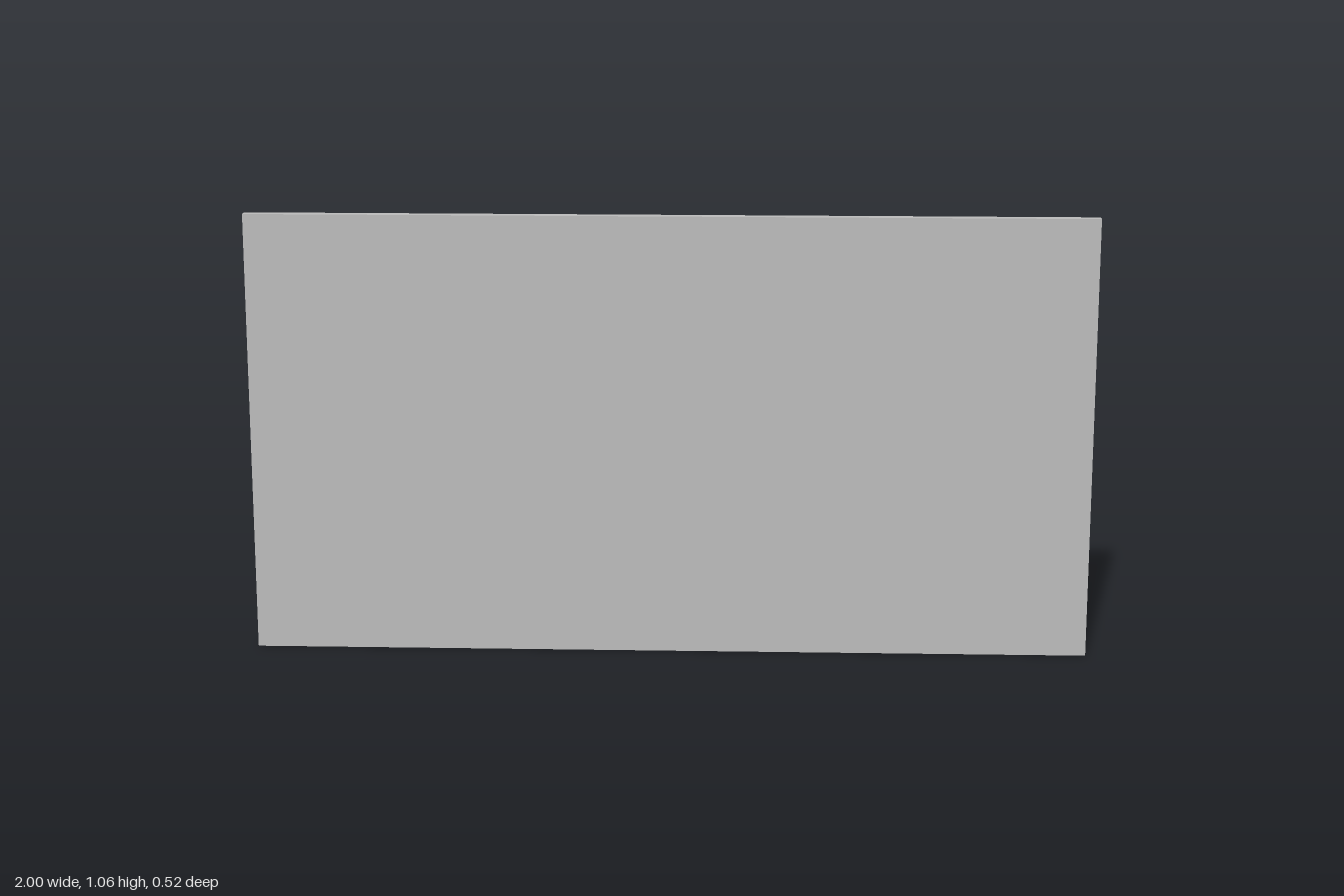
import * as THREE from 'three';

const grey = new THREE.MeshStandardMaterial({ color: 0xbcbcbc });
grey.name = 'plain grey';

function add(parent, name, geo) {
  const m = new THREE.Mesh(geo, grey);
  m.name = name;
  parent.add(m);
  return m;
}

function group(parent, name) {
  const g = new THREE.Group();
  g.name = name;
  parent.add(g);
  return g;
}

// box given by its limits on each axis
function box(p, name, x0, x1, y0, y1, z0, z1) {
  const g = new THREE.BoxGeometry(x1 - x0, y1 - y0, z1 - z0);
  g.translate((x0 + x1) / 2, (y0 + y1) / 2, (z0 + z1) / 2);
  return add(p, name, g);
}

// round rod between two points, optionally tapered
function rod(p, name, a, b, r0, r1 = r0, sides = 24) {
  const A = new THREE.Vector3(...a), d = new THREE.Vector3(...b).sub(A);
  const m = add(p, name, new THREE.CylinderGeometry(r1, r0, d.length(), sides));
  m.position.copy(A).addScaledVector(d, 0.5);
  m.quaternion.setFromUnitVectors(new THREE.Vector3(0, 1, 0), d.normalize());
  return m;
}

// bevelled slab with an outline in x and y, and optional holes
function plate(p, name, pts, z0, z1, holes = [], bevel = 0.006) {
  const v = (a) => a.map(([x, y]) => new THREE.Vector2(x, y));
  const s = new THREE.Shape(v(pts));
  holes.forEach((h) => s.holes.push(new THREE.Path(v(h))));
  const g = new THREE.ExtrudeGeometry(s, {
    depth: z1 - z0 - 2 * bevel, bevelEnabled: bevel > 0, bevelThickness: bevel,
    bevelSize: bevel, bevelOffset: -bevel, bevelSegments: 2,
  });
  g.translate(0, 0, z0 + bevel);
  return add(p, name, g);
}

function ball(p, name, x, y, z, rx, ry, rz) {
  const m = add(p, name, new THREE.SphereGeometry(1, 24, 16));
  m.position.set(x, y, z);
  m.scale.set(rx, ry, rz);
  return m;
}

function ring(p, name, x, y, z, r, t) {
  const m = add(p, name, new THREE.TorusGeometry(r, t, 10, 28));
  m.position.set(x, y, z);
  return m;
}

// rounded tube through a list of points in one plane
function hoop(p, name, pts, z, r, closed = false) {
  const c = new THREE.CatmullRomCurve3(pts.map(([x, y]) => new THREE.Vector3(x, y, z)), closed, 'catmullrom', 0.3);
  return add(p, name, new THREE.TubeGeometry(c, 40, r, 10, closed));
}

// tube with a wider cap at both ends
function cappedTube(parent, name, a, b) {
  const g = group(parent, name);
  const A = new THREE.Vector3(...a), B = new THREE.Vector3(...b);
  const d = B.clone().sub(A).normalize().multiplyScalar(0.04);
  rod(g, 'tube', a, b, 0.015);
  rod(g, 'capStart', a, A.clone().add(d).toArray(), 0.0235);
  rod(g, 'capEnd', B.clone().sub(d).toArray(), b, 0.0235);
}

function longBlaster(root) {
  const g = group(root, 'longBlaster');
  plate(g, 'body', [[0.6, 0.68], [0.6, 0.75], [0.52, 0.775], [0.36, 0.785], [0.22, 0.755], [0.1, 0.735], [0.1, 0.69], [0.2, 0.672], [0.45, 0.66]], 0.172, 0.226);
  plate(g, 'sidePanel', [[0.54, 0.69], [0.54, 0.735], [0.36, 0.745], [0.22, 0.72], [0.22, 0.69]], 0.158, 0.18);
  plate(g, 'stock', [[0.74, 0.672], [0.74, 0.74], [0.66, 0.76], [0.655, 0.888], [0.605, 0.895], [0.59, 0.76], [0.57, 0.745], [0.57, 0.68]], 0.183, 0.214,
    [[[0.72, 0.695], [0.62, 0.7], [0.62, 0.715], [0.72, 0.715]]], 0.004);
  hoop(g, 'grip', [[0.56, 0.76], [0.565, 0.86], [0.53, 0.885], [0.49, 0.875], [0.475, 0.82], [0.46, 0.77]], 0.197, 0.015);
  rod(g, 'stockStrut', [0.73, 0.73, 0.198], [0.57, 0.79, 0.198], 0.013);
  ball(g, 'dome', 0.41, 0.838, 0.19, 0.045, 0.048, 0.046);
  rod(g, 'domeNeck', [0.42, 0.76, 0.197], [0.41, 0.82, 0.195], 0.028);
  for (const [y, x] of [[0.815, 0.27], [0.795, 0.24], [0.775, 0.21]])
    rod(g, 'slideRail', [0.38, y, 0.185], [x, y - 0.015, 0.19], 0.014, 0.009);
  rod(g, 'barrel', [0.24, 0.705, 0.195], [0.09, 0.705, 0.195], 0.026, 0.017);
  plate(g, 'noseFin', [[0.14, 0.71], [0.1, 0.74], [0.088, 0.735], [0.1, 0.645], [0.125, 0.65], [0.15, 0.685]], 0.185, 0.205, [], 0.003);
  for (const s of [-1, 1]) plate(g, 'noseVane', [[0.15, 0.71], [0.11, 0.735], [0.09, 0.73], [0.11, 0.7]], 0.192 + s * 0.025 - 0.006, 0.192 + s * 0.025 + 0.006, [], 0.002);
  rod(g, 'sideKnob', [0.47, 0.7, 0.18], [0.47, 0.7, 0.15], 0.022);
}

function domedBlaster(root) {
  const g = group(root, 'domedBlaster');
  plate(g, 'body', [[-0.2, 0.69], [-0.21, 0.74], [-0.27, 0.765], [-0.45, 0.77], [-0.54, 0.745], [-0.56, 0.68], [-0.52, 0.645], [-0.3, 0.65]], 0.172, 0.226);
  plate(g, 'sidePanel', [[-0.25, 0.69], [-0.26, 0.735], [-0.4, 0.745], [-0.4, 0.67]], 0.16, 0.18);
  plate(g, 'gripFrame', [[-0.25, 0.74], [-0.25, 0.9], [-0.4, 0.895], [-0.43, 0.86], [-0.44, 0.74]], 0.178, 0.216,
    [[[-0.292, 0.77], [-0.285, 0.87], [-0.37, 0.868], [-0.395, 0.77]]]);
  rod(g, 'rearCylinder', [-0.19, 0.825, 0.195], [-0.26, 0.735, 0.195], 0.024);
  ball(g, 'dome', -0.475, 0.688, 0.18, 0.05, 0.052, 0.046);
  ring(g, 'domeCollar', -0.475, 0.688, 0.175, 0.048, 0.008);
  rod(g, 'barrel', [-0.53, 0.71, 0.195], [-0.58, 0.71, 0.195], 0.02);
  plate(g, 'frontSight', [[-0.5, 0.66], [-0.55, 0.67], [-0.545, 0.625], [-0.52, 0.62]], 0.185, 0.205, [], 0.003);
  hoop(g, 'sideHose', [[-0.4, 0.8], [-0.44, 0.83], [-0.48, 0.79], [-0.49, 0.74]], 0.16, 0.009);
}

function compactBlaster(root) {
  const g = group(root, 'compactBlaster');
  plate(g, 'body', [[0.53, 0.25], [0.54, 0.34], [0.45, 0.375], [0.3, 0.36], [0.25, 0.33], [0.25, 0.25], [0.32, 0.22], [0.45, 0.225]], 0.172, 0.226);
  hoop(g, 'rearArch', [[0.5, 0.26], [0.56, 0.27], [0.595, 0.33], [0.59, 0.41], [0.555, 0.445], [0.52, 0.43]], 0.2, 0.018);
  plate(g, 'gripFrame', [[0.53, 0.33], [0.53, 0.455], [0.5, 0.475], [0.41, 0.465], [0.38, 0.35]], 0.18, 0.216,
    [[[0.5, 0.36], [0.5, 0.435], [0.435, 0.432], [0.42, 0.36]]]);
  for (const y of [0.288, 0.322, 0.356]) {
    rod(g, 'drumChamber', [0.46, y, 0.158], [0.38, y, 0.158], 0.0165);
    rod(g, 'chamberNeck', [0.42, y, 0.18], [0.42, y, 0.138], 0.015);
  }
  rod(g, 'barrel', [0.29, 0.31, 0.195], [0.232, 0.31, 0.195], 0.027, 0.023);
  rod(g, 'lowerBarrel', [0.3, 0.255, 0.195], [0.237, 0.255, 0.195], 0.018);
  plate(g, 'sidePanel', [[0.37, 0.24], [0.37, 0.34], [0.28, 0.325], [0.28, 0.245]], 0.158, 0.18);
  plate(g, 'frontFin', [[0.29, 0.34], [0.24, 0.37], [0.235, 0.355], [0.26, 0.32]], 0.188, 0.204, [], 0.003);
  plate(g, 'sight', [[0.33, 0.235], [0.27, 0.24], [0.275, 0.2], [0.3, 0.195]], 0.185, 0.205, [], 0.003);
}

function heavyBlaster(root) {
  const g = group(root, 'heavyBlaster');
  plate(g, 'stock', [[0.0, 0.27], [0.01, 0.41], [-0.02, 0.42], [-0.15, 0.4], [-0.2, 0.36], [-0.2, 0.255], [-0.05, 0.255]], 0.184, 0.214,
    [[[-0.03, 0.375], [-0.03, 0.395], [-0.14, 0.38], [-0.14, 0.36]]], 0.004);
  plate(g, 'body', [[-0.17, 0.26], [-0.17, 0.345], [-0.3, 0.365], [-0.46, 0.36], [-0.6, 0.34], [-0.63, 0.3], [-0.62, 0.24], [-0.5, 0.215], [-0.3, 0.235]], 0.172, 0.226);
  plate(g, 'sidePanel', [[-0.23, 0.27], [-0.23, 0.33], [-0.4, 0.335], [-0.44, 0.27]], 0.16, 0.18);
  plate(g, 'gripFrame', [[-0.19, 0.33], [-0.2, 0.46], [-0.23, 0.475], [-0.33, 0.46], [-0.37, 0.34]], 0.18, 0.216,
    [[[-0.235, 0.355], [-0.235, 0.44], [-0.3, 0.432], [-0.325, 0.355]]]);
  rod(g, 'magazine', [-0.35, 0.35, 0.192], [-0.405, 0.455, 0.18], 0.03);
  rod(g, 'magazineCap', [-0.4, 0.445, 0.181], [-0.412, 0.468, 0.179], 0.034, 0.028);
  ball(g, 'roundedHousing', -0.54, 0.385, 0.192, 0.105, 0.04, 0.035);
  plate(g, 'housingBase', [[-0.45, 0.33], [-0.45, 0.385], [-0.62, 0.385], [-0.64, 0.33]], 0.175, 0.22);
  ring(g, 'frontRing', -0.53, 0.262, 0.166, 0.045, 0.012);
  rod(g, 'ringHub', [-0.53, 0.262, 0.2], [-0.53, 0.262, 0.158], 0.022);
  for (let i = 0; i < 8; i++) {
    const a = (i * Math.PI) / 4;
    ball(g, 'ringStud', -0.53 + 0.052 * Math.cos(a), 0.262 + 0.052 * Math.sin(a), 0.165, 0.01, 0.01, 0.01);
  }
  rod(g, 'barrel', [-0.6, 0.295, 0.195], [-0.71, 0.295, 0.195], 0.013);
  rod(g, 'muzzle', [-0.69, 0.295, 0.195], [-0.73, 0.295, 0.195], 0.018);
  hoop(g, 'sideHose', [[-0.3, 0.28], [-0.36, 0.25], [-0.43, 0.25], [-0.48, 0.28]], 0.163, 0.009);
}

export function createModel() {
  const root = new THREE.Group();
  root.name = 'displayBoard';
  box(root, 'board', -1, 1, 0, 1.06, 0.232, 0.258);

  // stand: upright, foot and sloping brace on each side, joined by a bar
  for (const s of [-1, 1]) {
    const g = group(root, s > 0 ? 'leftStand' : 'rightStand');
    const x = s * 0.803;
    box(g, 'upright', x - 0.013, x + 0.013, 0.145, 0.69, 0.186, 0.232);
    box(g, 'foot', x - 0.013, x + 0.013, 0.145, 0.19, -0.258, 0.232);
    const brace = plate(g, 'brace', [[-0.186, 0.575], [-0.186, 0.47], [-0.04, 0.19], [0.01, 0.19]], -0.01, 0.01, [], 0);
    brace.rotation.y = Math.PI / 2;
    brace.position.x = x;
    cappedTube(root, 'sideTube', [s * 0.977, 0.15, 0.208], [s * 0.977, 0.85, 0.208]);
  }
  box(root, 'crossBar', -0.826, 0.826, 0.157, 0.18, -0.235, -0.2);
  cappedTube(root, 'bottomTube', [-0.71, 0.067, 0.208], [0.71, 0.067, 0.208]);

  // toy blasters mounted on the back
  longBlaster(root);
  domedBlaster(root);
  compactBlaster(root);
  heavyBlaster(root);
  return root;
}
